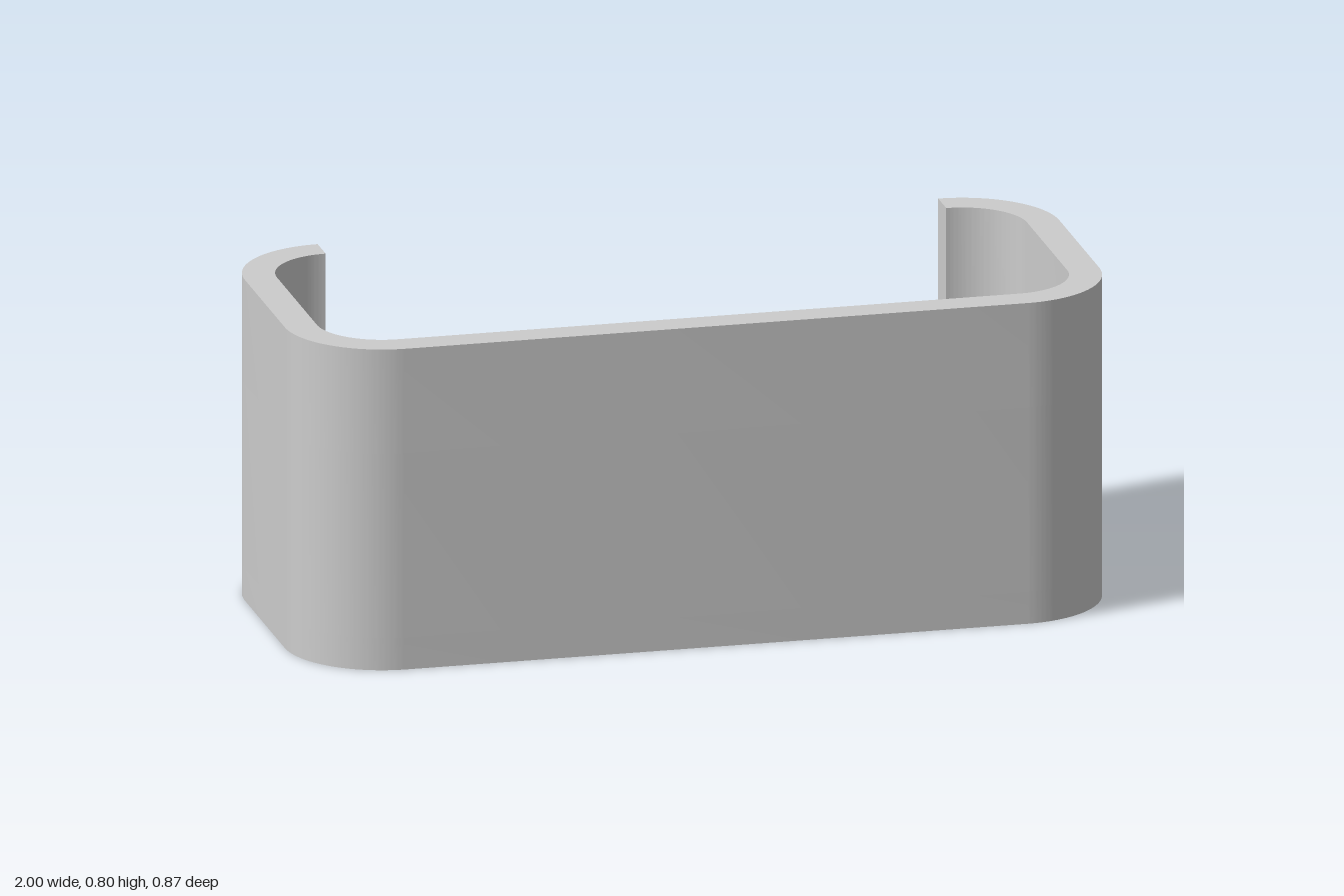
import * as THREE from 'three';
import { toCreasedNormals } from 'three/addons/utils/BufferGeometryUtils.js';

const CX = 0.762, CZ = 0.197;      // corner arc centres
const R_OUT = 0.238, R_IN = 0.159; // concentric corner radii
const FLOOR = 0.08, SILL = 0.54, TOP = 0.8;

// Appends four rounded corners, from the back right round the front to the back left, or the reverse
function traceCorners(path, r, reverse = false) {
  const h = Math.PI / 2;
  const corners = [[CX, CZ, h], [CX, -CZ, 0], [-CX, -CZ, -h], [-CX, CZ, -2 * h]];
  if (reverse) corners.reverse();
  for (const [x, y, a] of corners) {
    if (reverse) path.absarc(x, y, r, a - h, a, false);
    else path.absarc(x, y, r, a, a - h, true);
  }
  path.closePath();
  return path;
}

// Extrudes a plan shape upwards between two heights
function slab(name, shape, y0, y1, material) {
  const geo = new THREE.ExtrudeGeometry(shape, { depth: y1 - y0, bevelEnabled: false, curveSegments: 32 });
  geo.rotateX(-Math.PI / 2).translate(0, y0, 0);
  const mesh = new THREE.Mesh(toCreasedNormals(geo, 0.5), material);
  mesh.name = name;
  return mesh;
}

export function createModel() {
  const group = new THREE.Group();
  group.name = 'openTray';
  const grey = new THREE.MeshStandardMaterial({ name: 'grey', color: 0xcccccc });

  // Solid floor
  const floor = traceCorners(new THREE.Shape(), R_OUT);

  // Closed wall up to the sill of the back cut-out; the cavity winds the other way so its walls face inwards
  const ring = traceCorners(new THREE.Shape(), R_OUT);
  ring.holes.push(traceCorners(new THREE.Path(), R_IN, true));

  // Upper wall, open along the straight part of the back
  const upper = new THREE.Shape();
  const h = Math.PI / 2;
  const outer = [[CX, CZ, h], [CX, -CZ, 0], [-CX, -CZ, -h], [-CX, CZ, -2 * h]];
  for (const [x, y, a] of outer) upper.absarc(x, y, R_OUT, a, a - h, true);
  for (const [x, y, a] of outer.reverse()) upper.absarc(x, y, R_IN, a - h, a, false);
  upper.closePath();

  group.add(
    slab('floor', floor, 0, FLOOR, grey),
    slab('lowerWall', ring, FLOOR, SILL, grey),
    slab('upperWall', upper, SILL, TOP, grey),
  );
  return group;
}
